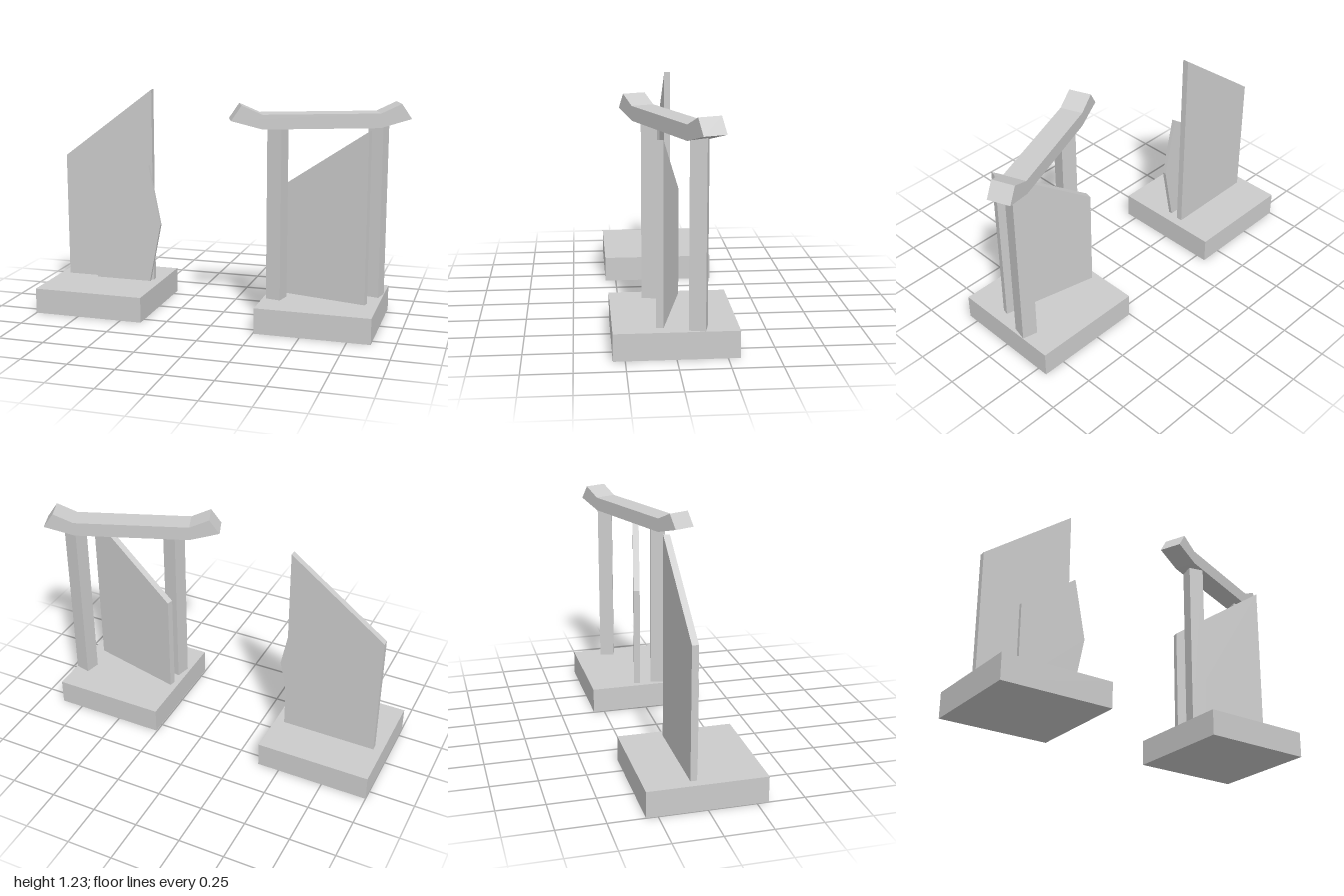
import * as THREE from 'three';

const material = new THREE.MeshStandardMaterial({ color: 0xcccccc, flatShading: true });

function add(parent, name, geometry, x = 0, y = 0, z = 0, turn = 0) {
  const mesh = new THREE.Mesh(geometry, material);
  mesh.name = name;
  mesh.position.set(x, y, z);
  mesh.rotation.y = turn;
  parent.add(mesh);
  return mesh;
}

// Flat outline in x/y, given thickness centred on z = 0
function slab(points, thickness) {
  const shape = new THREE.Shape(points.map(([x, y]) => new THREE.Vector2(x, y)));
  return new THREE.ExtrudeGeometry(shape, { depth: thickness, bevelEnabled: false })
    .translate(0, 0, -thickness / 2);
}

const BASE_SIZE = 0.62;
const BASE_TOP = 0.14;

function addBase(parent, x) {
  add(parent, 'base', new THREE.BoxGeometry(BASE_SIZE, BASE_TOP, BASE_SIZE), x, BASE_TOP / 2, 0);
}

// Base with a tall slanted panel and a smaller pointed panel before it
function createPanelMonument() {
  const group = new THREE.Group();
  group.name = 'panelMonument';
  addBase(group, -0.69);
  add(group, 'tallPanel', slab([
    [-0.95, BASE_TOP], [-0.43, BASE_TOP], [-0.43, 1.23], [-0.95, 0.84],
  ], 0.034), 0, 0, -0.06);
  add(group, 'smallPanel', slab([
    [-0.75, 0.15], [-0.43, 0.15], [-0.364, 0.48], [-0.43, 0.815], [-0.75, 0.58],
  ], 0.02), 0, 0, 0.01);
  return group;
}

// Base with a slanted panel under a diagonal gate
function createGateMonument() {
  const group = new THREE.Group();
  group.name = 'gateMonument';
  addBase(group, 0.565);

  const panelTurn = -0.227;
  add(group, 'gatePanel', slab([
    [-0.267, BASE_TOP], [0.267, BASE_TOP], [0.267, 1.067], [-0.267, 0.71],
  ], 0.036), 0.548, 0, 0.018, panelTurn);

  // Posts reach slightly into the beam
  const postHeight = 1.085 - BASE_TOP;
  for (const [name, x, z] of [['rightPost', 0.323, 0.09], ['leftPost', 0.823, -0.108]]) {
    add(group, name, new THREE.BoxGeometry(0.083, postHeight, 0.083),
      x, BASE_TOP + postHeight / 2, z, panelTurn);
  }

  // Beam with both ends bent upward
  const half = [[0.31, 1.067], [0.475, 1.113], [0.42, 1.193], [0.312, 1.144]];
  const mirrored = half.map(([x, y]) => [-x, y]).reverse();
  add(group, 'beam', slab([...half, ...mirrored], 0.123), 0.53, 0, 0.01, 0.372);
  return group;
}

export function createModel() {
  const model = new THREE.Group();
  model.name = 'gateAndPanelMonuments';
  model.add(createPanelMonument(), createGateMonument());
  return model;
}
